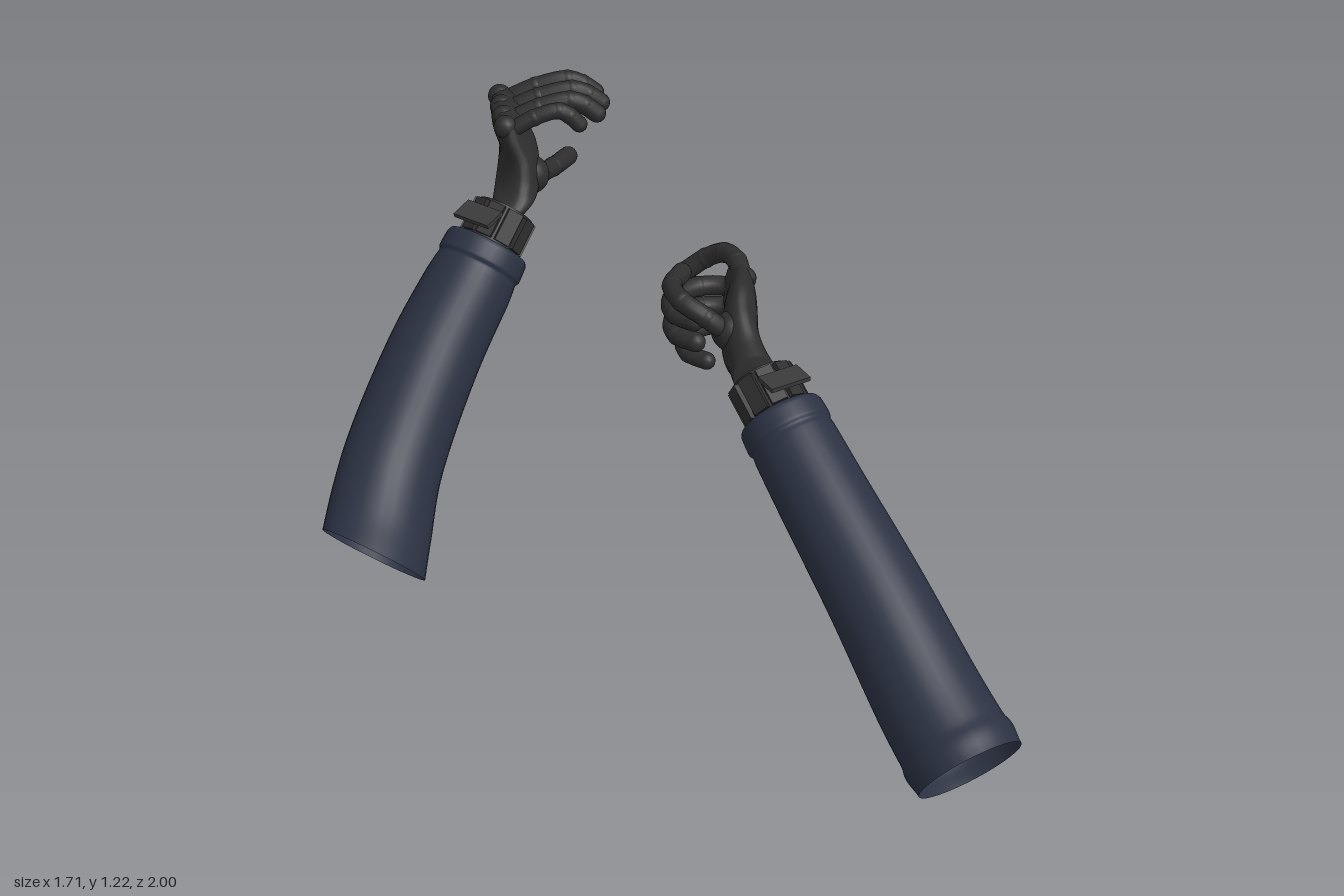
import * as THREE from 'three';

const V3 = (x, y, z) => new THREE.Vector3(x, y, z);
const cloth = new THREE.MeshStandardMaterial({ color: 0x2b3142, side: THREE.DoubleSide });
const glove = new THREE.MeshStandardMaterial({ color: 0x2d2d2d });
const trim = new THREE.MeshStandardMaterial({ color: 0x3a3a3a });

function add(parent, name, geometry, material) {
  const mesh = new THREE.Mesh(geometry, material);
  mesh.name = name;
  parent.add(mesh);
  return mesh;
}

// Smooth skin through elliptical sections [x, y, z, a, b]; U x V points along the loft.
function loft(sections, U, V, steps, closed) {
  const centres = new THREE.CatmullRomCurve3(sections.map(s => V3(s[0], s[1], s[2])));
  const sizes = new THREE.CatmullRomCurve3(sections.map(s => V3(s[3], s[4], 0)));
  const n = 32, pos = [], idx = [];
  for (let i = 0; i <= steps; i++) {
    const c = centres.getPoint(i / steps), r = sizes.getPoint(i / steps);
    for (let j = 0; j < n; j++) {
      const t = j / n * Math.PI * 2;
      const p = c.clone().addScaledVector(U, r.x * Math.cos(t)).addScaledVector(V, r.y * Math.sin(t));
      pos.push(p.x, p.y, p.z);
      if (i === steps) continue;
      const a = i * n + j, b = i * n + (j + 1) % n;
      idx.push(a, b, b + n, a, b + n, a + n);
    }
  }
  if (closed) {
    const first = pos.length / 3, last = steps * n;
    for (const t of [0, 1]) pos.push(...centres.getPoint(t).toArray());
    for (let j = 0; j < n; j++) {
      const k = (j + 1) % n;
      idx.push(first, k, j, first + 1, last + j, last + k);
    }
  }
  const g = new THREE.BufferGeometry();
  g.setAttribute('position', new THREE.Float32BufferAttribute(pos, 3));
  g.setIndex(idx);
  g.computeVertexNormals();
  return g;
}

// Round-ended finger, slightly thicker at its joints
function finger(parent, name, points, r) {
  const group = new THREE.Group();
  group.name = name;
  const pts = points.map(p => V3(...p));
  add(group, name + 'Tube', new THREE.TubeGeometry(new THREE.CatmullRomCurve3(pts), 28, r, 14), glove);
  pts.forEach((p, i) => {
    const end = i === 0 || i === pts.length - 1;
    add(group, name + 'Joint', new THREE.SphereGeometry(end ? r : r * 1.06, 14, 10), glove).position.copy(p);
  });
  parent.add(group);
}

// Sleeve with a hemmed wrist, then the panelled glove cuff and its flap
function forearm(parent, dir, sections, cuffLength) {
  const d = dir.clone().normalize();
  const U = d.clone().cross(V3(0, 1, 0)).normalize();
  const W = U.clone().cross(d);
  const end = V3(...sections[sections.length - 1]);
  const r = sections[sections.length - 1][3];
  const rings = sections.slice(0, -1).map(s => [s[0], s[1], s[2], s[3], s[3]]);
  for (const [back, k] of [[0.085, 1.02], [0.07, 1.0], [0.055, 1.05], [0.012, 1.03], [0, 0.96], [0.004, 0.7]]) {
    const p = end.clone().addScaledVector(d, -back);
    rings.push([p.x, p.y, p.z, r * k, r * k]);
  }
  add(parent, 'sleeve', loft(rings, W, U, 72, false), cloth);

  const cuff = new THREE.Group();
  cuff.name = 'gloveCuff';
  cuff.position.copy(end);
  cuff.quaternion.setFromRotationMatrix(new THREE.Matrix4().makeBasis(U, d, W));
  parent.add(cuff);
  const L = cuffLength;
  add(cuff, 'cuffBody', new THREE.CylinderGeometry(0.078, 0.086, L + 0.04, 24), glove).position.y = L / 2 - 0.02;
  for (let i = 0; i < 10; i++) {
    const a = (i + 0.5) / 10 * Math.PI * 2;
    const panel = add(cuff, 'cuffPanel', new THREE.BoxGeometry(0.044, L * 0.85, 0.014), glove);
    panel.position.set(Math.sin(a) * 0.085, L * 0.5, Math.cos(a) * 0.085);
    panel.rotation.y = a;
  }
  const flap = add(cuff, 'cuffFlap', new THREE.BoxGeometry(0.12, 0.065, 0.012), trim);
  flap.position.set(0, L * 0.45, 0.107);
  flap.rotation.x = -0.5;
}

function rightArm() {
  const arm = new THREE.Group();
  arm.name = 'rightArm';
  forearm(arm, V3(0.165, 0.23, -0.17), [
    [-0.72, 0.26, -0.03, 0.153], [-0.692, 0.32, -0.135, 0.15], [-0.645, 0.43, -0.255, 0.14],
    [-0.52, 0.645, -0.43, 0.13], [-0.42, 0.785, -0.535, 0.122], [-0.355, 0.875, -0.6, 0.115],
  ], 0.11);
  // Upright palm, thin across x
  add(arm, 'palm', loft([
    [-0.295, 0.945, -0.665, 0.05, 0.05], [-0.275, 0.965, -0.70, 0.07, 0.058], [-0.255, 1.0, -0.79, 0.13, 0.058],
    [-0.25, 1.06, -0.84, 0.145, 0.052], [-0.272, 1.12, -0.852, 0.138, 0.047],
    [-0.28, 1.165, -0.857, 0.125, 0.04], [-0.28, 1.18, -0.857, 0.1, 0.02],
  ], V3(0, 0, 1), V3(1, 0, 0), 36, true), glove);
  // Four fingers reaching over toward +x
  [[-0.957, 0], [-0.889, 0.01], [-0.82, -0.01], [-0.757, -0.07]].forEach(([z, tip], i) => {
    const s = (tip + 0.27) / 0.27, x = k => -0.27 + k * s;
    finger(arm, 'finger', [[-0.28, 1.14, z], [x(0.08), 1.178, z], [x(0.17), 1.195, z],
      [x(0.21), 1.18, z], [x(0.247), 1.152, z]], i === 3 ? 0.023 : 0.026);
    const k = add(arm, 'knuckle', new THREE.SphereGeometry(0.033, 14, 10), glove);
    k.position.set(-0.29, 1.155, z);
  });
  finger(arm, 'thumb', [[-0.25, 1.01, -0.75], [-0.2, 0.98, -0.81], [-0.15, 0.96, -0.89], [-0.1, 0.952, -0.97]], 0.027);
  const base = add(arm, 'thumbBase', new THREE.SphereGeometry(0.055, 18, 12), glove);
  base.position.set(-0.225, 1.0, -0.77);
  return arm;
}

function leftArm() {
  const arm = new THREE.Group();
  arm.name = 'leftArm';
  forearm(arm, V3(-0.375, 0.595, -0.78), [
    [0.72, 0.118, 0.905, 0.145], [0.69, 0.155, 0.835, 0.145], [0.645, 0.22, 0.74, 0.142],
    [0.535, 0.41, 0.51, 0.131], [0.43, 0.575, 0.30, 0.121], [0.345, 0.71, 0.12, 0.113],
  ], 0.12);
  // Palm standing on edge, thin across x
  add(arm, 'palm', loft([
    [0.295, 0.775, 0.03, 0.06, 0.06], [0.282, 0.79, -0.03, 0.072, 0.052], [0.272, 0.807, -0.1, 0.105, 0.05],
    [0.282, 0.818, -0.18, 0.132, 0.048], [0.297, 0.82, -0.28, 0.122, 0.042],
    [0.292, 0.83, -0.335, 0.1, 0.034], [0.29, 0.835, -0.35, 0.07, 0.015],
  ], V3(0, 1, 0), V3(1, 0, 0), 36, true), glove);
  // Hooked index finger
  finger(arm, 'indexFinger', [[0.3, 0.905, -0.27], [0.295, 0.922, -0.345], [0.27, 0.915, -0.41],
    [0.225, 0.88, -0.45], [0.175, 0.84, -0.46]], 0.027);
  // Remaining fingers curled back toward the palm
  [[0.85, 0], [0.787, 0.005], [0.728, 0.035]].forEach(([y, dx], i) => {
    finger(arm, 'curledFinger', [[0.3, y, -0.27], [0.27, y, -0.335], [0.19 + dx, y, -0.345],
      [0.112 + dx, y, -0.28], [0.112 + dx, y, -0.2], [0.155 + dx, y, -0.155]], i === 2 ? 0.024 : 0.027);
  });
  for (const y of [0.9, 0.845, 0.787, 0.73]) {
    const k = add(arm, 'knuckle', new THREE.SphereGeometry(0.032, 14, 10), glove);
    k.position.set(0.308, y, -0.285);
  }
  // Thumb closing the loop with the fingers
  finger(arm, 'thumb', [[0.25, 0.83, -0.1], [0.18, 0.89, -0.1], [0.12, 0.922, -0.14],
    [0.105, 0.925, -0.22], [0.14, 0.92, -0.3]], 0.027);
  const base = add(arm, 'thumbBase', new THREE.SphereGeometry(0.055, 18, 12), glove);
  base.position.set(0.25, 0.84, -0.11);
  return arm;
}

export function createModel() {
  const model = new THREE.Group();
  model.name = 'pairOfArms';
  model.add(rightArm(), leftArm());
  return model;
}
